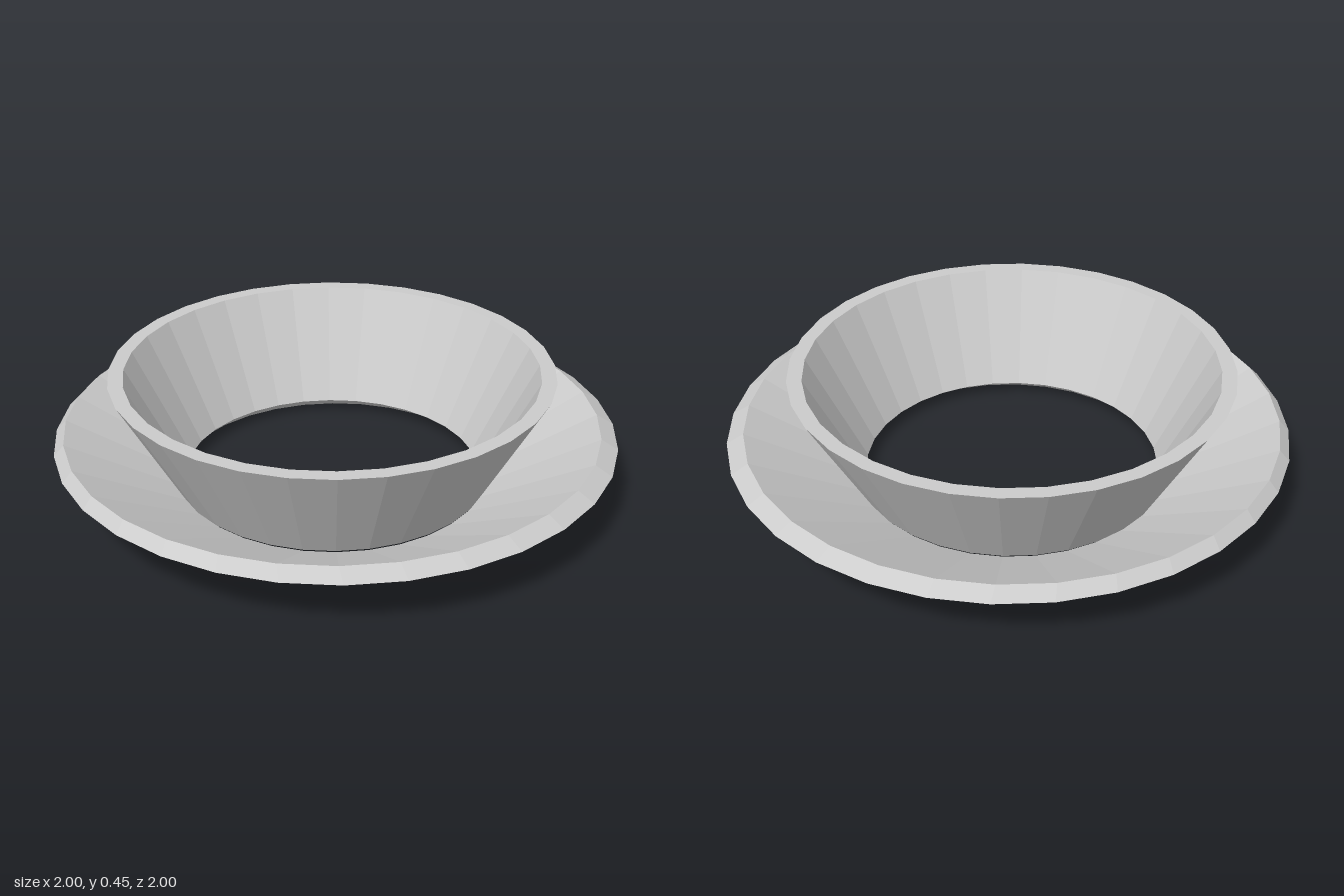
import * as THREE from 'three';

const SIDES = 32;

// Closed ring turned from a profile of [radius, height, sideways shift];
// the shift nudges that edge loop towards -x and -z.
function ring(name, profile) {
  const loop = [...profile, profile[0]];
  const geometry = new THREE.LatheGeometry(
    loop.map(([r, y]) => new THREE.Vector2(r, y)), SIDES);
  const pos = geometry.attributes.position;
  for (let i = 0; i < pos.count; i++) {
    const shift = loop[i % loop.length][2];
    pos.setX(i, pos.getX(i) - shift);
    pos.setZ(i, pos.getZ(i) - shift);
  }
  geometry.computeVertexNormals();
  const mesh = new THREE.Mesh(geometry,
    new THREE.MeshStandardMaterial({ color: 0xcccccc, flatShading: true }));
  mesh.name = name;
  return mesh;
}

export function createModel() {
  const group = new THREE.Group();
  group.name = 'flaredCollar';

  // Wide shallow dish with bevelled rims
  group.add(ring('lowerDish', [
    [0.556, 0.04, 0.008], [0.6, 0, 0], [1, 0.213, 0], [0.952, 0.25, 0.009],
  ]));

  // Steeper collar rising from the dish, slightly off centre
  group.add(ring('upperCollar', [
    [0.53, 0.05, 0.009], [0.565, 0.05, 0.009], [0.786, 0.45, 0.009], [0.733, 0.45, 0.009],
  ]));

  return group;
}
